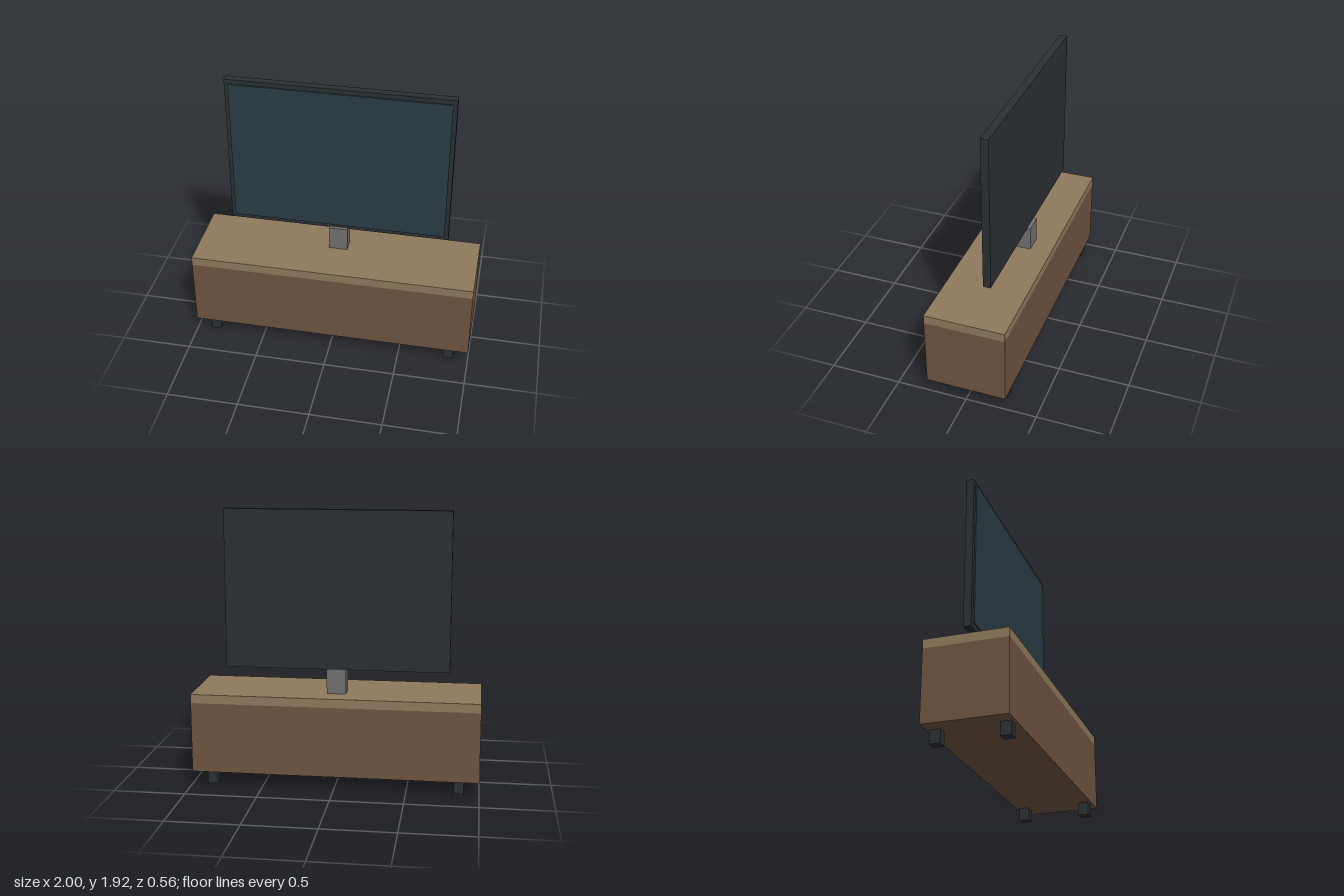
import * as THREE from 'three';

const mat = (color) => new THREE.MeshStandardMaterial({ color });

// Box given by its minimum and maximum on each axis
function box(name, material, [x0, x1], [y0, y1], [z0, z1]) {
  const mesh = new THREE.Mesh(new THREE.BoxGeometry(x1 - x0, y1 - y0, z1 - z0), material);
  mesh.position.set((x0 + x1) / 2, (y0 + y1) / 2, (z0 + z1) / 2);
  mesh.name = name;
  return mesh;
}

export function createModel() {
  const group = new THREE.Group();
  group.name = 'televisionOnCabinet';

  const wood = mat(0x6f5440);
  const lightWood = mat(0x8f7a5c);
  const darkMetal = mat(0x2b3033);
  const grey = mat(0x707070);
  const glass = mat(0x2a3b45);

  // Low cabinet with a paler top board
  group.add(box('cabinetBody', wood, [-1, 1], [0.09, 0.585], [-0.282, 0.282]));
  group.add(box('cabinetTop', lightWood, [-1, 1], [0.585, 0.647], [-0.282, 0.282]));

  // Four short feet
  for (const sx of [-1, 1]) {
    for (const sz of [-1, 1]) {
      const x = sx * 0.86, z = sz * 0.225;
      group.add(box('foot', darkMetal, [x - 0.035, x + 0.035], [0, 0.09], [z - 0.036, z + 0.036]));
    }
  }

  // Stand, casing and screen panel
  group.add(box('stand', grey, [-0.067, 0.067], [0.647, 0.82], [-0.133, -0.027]));
  group.add(box('televisionCasing', darkMetal, [-0.78, 0.78], [0.812, 1.917], [-0.106, -0.052]));
  group.add(box('screen', glass, [-0.752, 0.752], [0.843, 1.886], [-0.05, -0.041]));

  return group;
}
